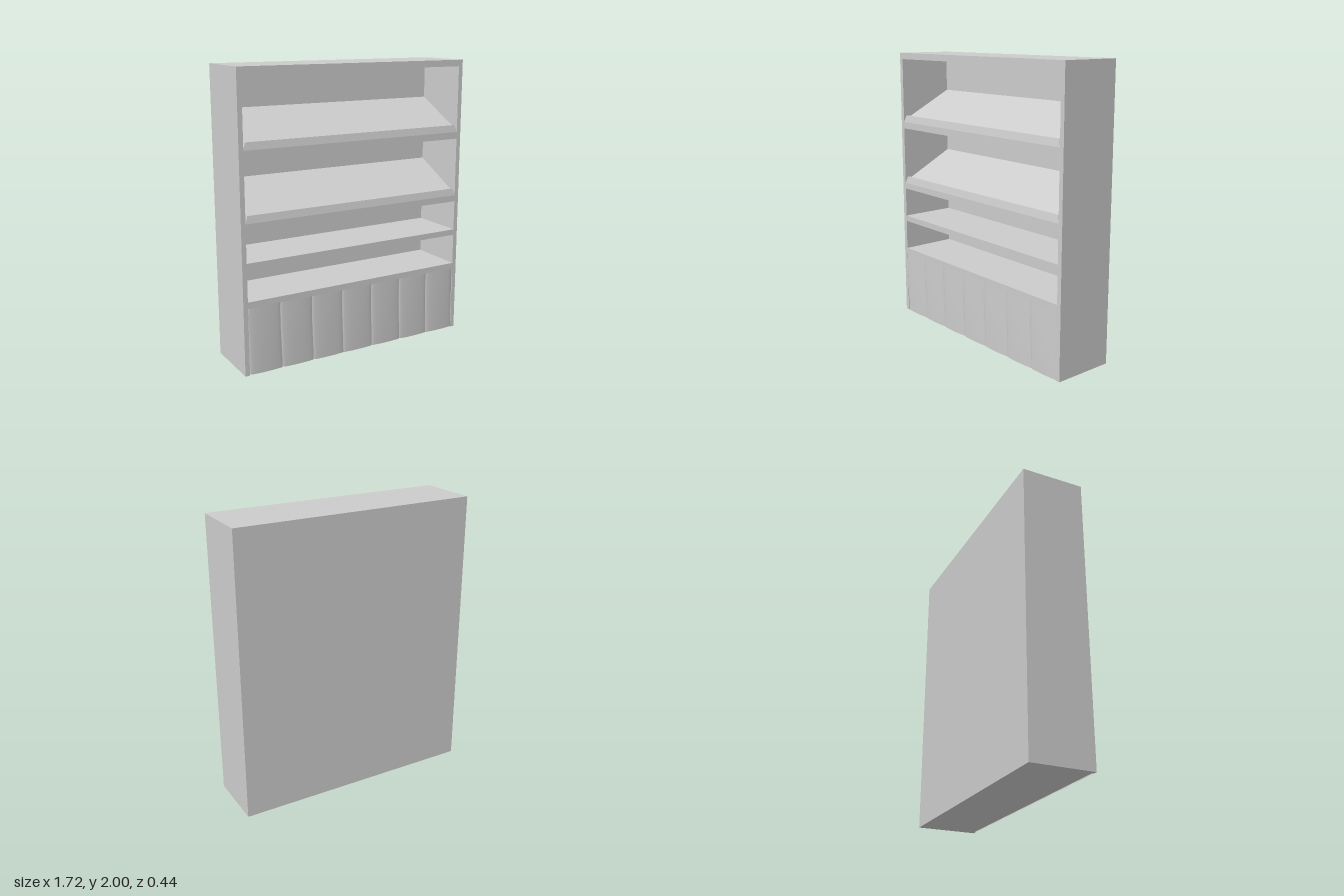
import * as THREE from 'three';

const W = 0.86, IN = 0.828;            // outer and inner half widths
const BACK = -0.223, INNER = -0.19, FRONT = 0.213;

export function createModel() {
  const group = new THREE.Group();
  const mat = new THREE.MeshStandardMaterial({ color: 0xcccccc });
  const clothMat = new THREE.MeshStandardMaterial({ color: 0xcccccc, side: THREE.DoubleSide });

  const add = (name, geometry, material = mat) => {
    const mesh = new THREE.Mesh(geometry, material);
    mesh.name = name;
    group.add(mesh);
    return mesh;
  };
  const box = (name, x0, x1, y0, y1, z0, z1) =>
    add(name, new THREE.BoxGeometry(x1 - x0, y1 - y0, z1 - z0))
      .position.set((x0 + x1) / 2, (y0 + y1) / 2, (z0 + z1) / 2);

  // Outer case
  box('leftSide', IN, W, 0, 2, BACK, FRONT);
  box('rightSide', -W, -IN, 0, 2, BACK, FRONT);
  box('backPanel', -IN, IN, 0, 2, BACK, INNER);
  box('topPanel', -IN, IN, 1.955, 2, INNER, FRONT);

  // Flat boards, listed as bottom and top heights
  for (const [y0, y1] of [[0.465, 0.507], [0.767, 0.725], [0.98, 1.025], [1.442, 1.49]])
    box('shelf', -IN, IN, Math.min(y0, y1), Math.max(y0, y1), INNER, FRONT);
  // Closed base behind the curtain
  box('base', -IN, IN, 0, 0.465, INNER, 0.2);

  // Sloped display shelves, each with a leaning front lip
  for (const y of [1.025, 1.49]) {
    const wedge = new THREE.Shape([
      new THREE.Vector2(INNER, y), new THREE.Vector2(0.2, y),
      new THREE.Vector2(0.2, y + 0.018), new THREE.Vector2(INNER, y + 0.22),
    ]);
    const slope = new THREE.ExtrudeGeometry(wedge, { depth: 2 * IN, bevelEnabled: false });
    slope.rotateY(-Math.PI / 2);       // profile x becomes z
    slope.translate(IN, 0, 0);
    add('slopedShelf', slope);

    // Lip: narrower at the top and tilted back
    const lip = new THREE.BoxGeometry(2 * IN, 0.05, 0.01);
    const p = lip.attributes.position;
    for (let i = 0; i < p.count; i++) {
      if (p.getY(i) > 0) {
        p.setX(i, p.getX(i) * 0.98);
        p.setZ(i, p.getZ(i) - 0.011);
      }
    }
    lip.computeVertexNormals();
    add('shelfLip', lip).position.set(0, y + 0.025, FRONT - 0.005);
  }

  // Pleated curtain across the base: seven soft folds
  const folds = 7, cols = 14, rows = 12, foldW = 2 * IN / folds;
  const cloth = new THREE.PlaneGeometry(1, 1, folds * cols, rows);
  const p = cloth.attributes.position;
  for (let i = 0; i < p.count; i++) {
    const c = i % (folds * cols + 1);
    const v = p.getY(i) + 0.5;
    const k = Math.min(Math.floor(c / cols), folds - 1);
    const u = 0.5 - 0.5 * Math.cos(Math.PI * (c / cols - k));
    const puff = Math.pow(Math.max(Math.sin(Math.PI * u), 0), 0.35);
    const edge = c === 0 || c === folds * cols;
    const sway = edge ? 0 : 0.006 * Math.sin(v * 3 + 2.2);
    const fall = 0.75 + 0.25 * Math.sin(Math.PI * Math.min(1, 0.12 + v * 0.8));
    const z = 0.207 + 0.016 * puff * fall * (1 - 0.15 * u);
    p.setXYZ(i, -IN + (k + u) * foldW + sway, 0.004 + v * 0.461, z);
  }
  cloth.computeVertexNormals();
  add('curtain', cloth, clothMat);

  return group;
}
